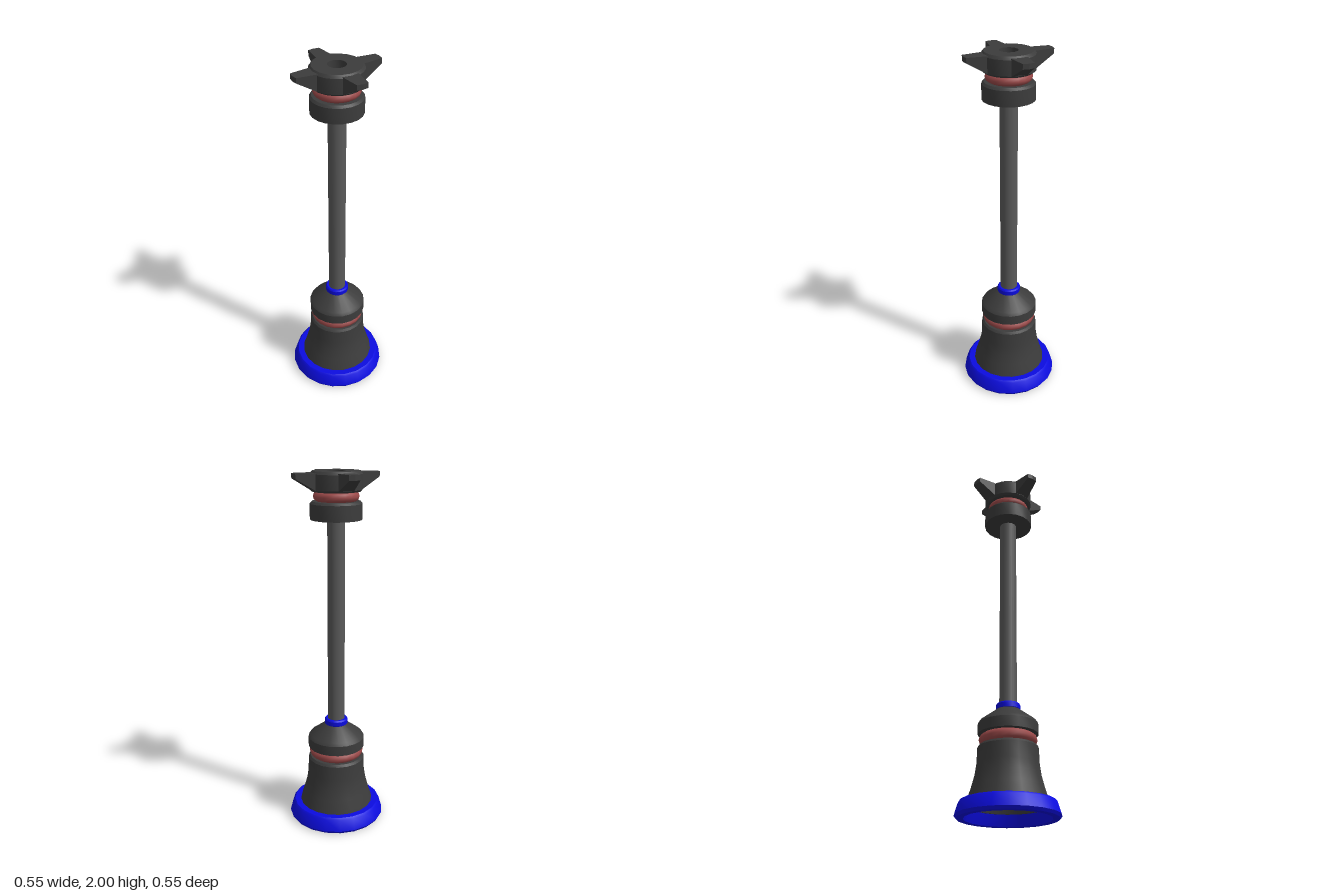
import * as THREE from 'three';
import { toCreasedNormals } from 'three/addons/utils/BufferGeometryUtils.js';

const SIDES = 20;
const BORE = 0.049;

const paint = (color) => new THREE.MeshStandardMaterial({ color, side: THREE.DoubleSide });

export function createModel() {
  const model = new THREE.Group();
  const dark = paint(0x3c3c3c);
  const steel = paint(0x5a5a5a);
  const blue = paint(0x0b0be0);
  const red = paint(0x9c4a4a);

  const add = (name, geometry, material, parent = model) => {
    const mesh = new THREE.Mesh(geometry, material);
    mesh.name = name;
    parent.add(mesh);
    return mesh;
  };

  // Closed ring: profile runs up the outside and down the inside
  const turned = (name, profile, material) => {
    const points = [...profile, profile[0]].map(([r, y]) => new THREE.Vector2(r, y));
    return add(name, toCreasedNormals(new THREE.LatheGeometry(points, SIDES), 0.6), material);
  };

  const seal = (name, y, radius, tube) => {
    const geometry = new THREE.TorusGeometry(radius, tube, 10, SIDES);
    geometry.rotateX(Math.PI / 2);
    geometry.translate(0, y, 0);
    return add(name, geometry, red);
  };

  // Rim around the mouth of the bell
  turned('baseRim', [
    [0.265, 0], [0.275, 0.015], [0.256, 0.078], [0.246, 0.088], [0.2, 0.088],
    [0.205, 0.06], [0.228, 0],
  ], blue);

  // Hollow flared bell
  turned('bell', [
    [0.218, 0.06], [0.209, 0.1], [0.19, 0.16], [0.174, 0.22], [0.165, 0.28], [0.162, 0.365],
    [0.152, 0.378], [BORE, 0.378], [BORE, 0.36], [0.142, 0.36],
    [0.147, 0.28], [0.156, 0.22], [0.175, 0.15], [0.2, 0.06],
  ], dark);

  seal('bellSeal', 0.408, 0.126, 0.03);

  // Conical cap over the bell
  turned('bellCap', [
    [BORE, 0.438], [0.162, 0.438], [0.162, 0.495], [0.15, 0.512], [0.062, 0.577], [BORE, 0.577],
  ], dark);

  turned('shaftCollar', [
    [BORE, 0.57], [0.06, 0.57], [0.066, 0.578], [0.066, 0.602], [0.06, 0.61], [BORE, 0.61],
  ], blue);

  // Open tube linking both ends
  const tube = new THREE.CylinderGeometry(0.048, 0.048, 1.48, SIDES, 1, true);
  tube.translate(0, 1.12, 0);
  add('shaft', tube, steel);

  turned('upperCollar', [
    [BORE, 1.75], [0.14, 1.75], [0.14, 1.833], [0.129, 1.845], [BORE, 1.845],
  ], dark);

  seal('upperSeal', 1.87, 0.097, 0.026);

  turned('hub', [
    [BORE, 1.895], [0.13, 1.895], [0.14, 1.905], [0.14, 1.985], [0.128, 2], [BORE, 2],
  ], dark);

  // Tapered prong: wide and deep at the hub, thin at a slightly bowed tip
  const prong = new THREE.BoxGeometry(1, 1, 2, 1, 1, 2);
  const p = prong.attributes.position;
  for (let i = 0; i < p.count; i++) {
    const tip = p.getX(i) > 0;
    const side = p.getZ(i);
    const x = tip ? 0.241 - 0.005 * Math.abs(side) : 0.12;
    const y = p.getY(i) > 0 ? 1.992 : tip ? 1.965 : 1.897;
    p.setXYZ(i, x, y, side * (tip ? 0.031 : 0.045));
  }
  const prongGeometry = toCreasedNormals(prong, 0.3);
  const prongs = new THREE.Group();
  prongs.name = 'prongs';
  for (let i = 0; i < 4; i++) {
    add('prong', prongGeometry, dark, prongs).rotation.y = (i * Math.PI) / 2;
  }
  model.add(prongs);

  return model;
}
